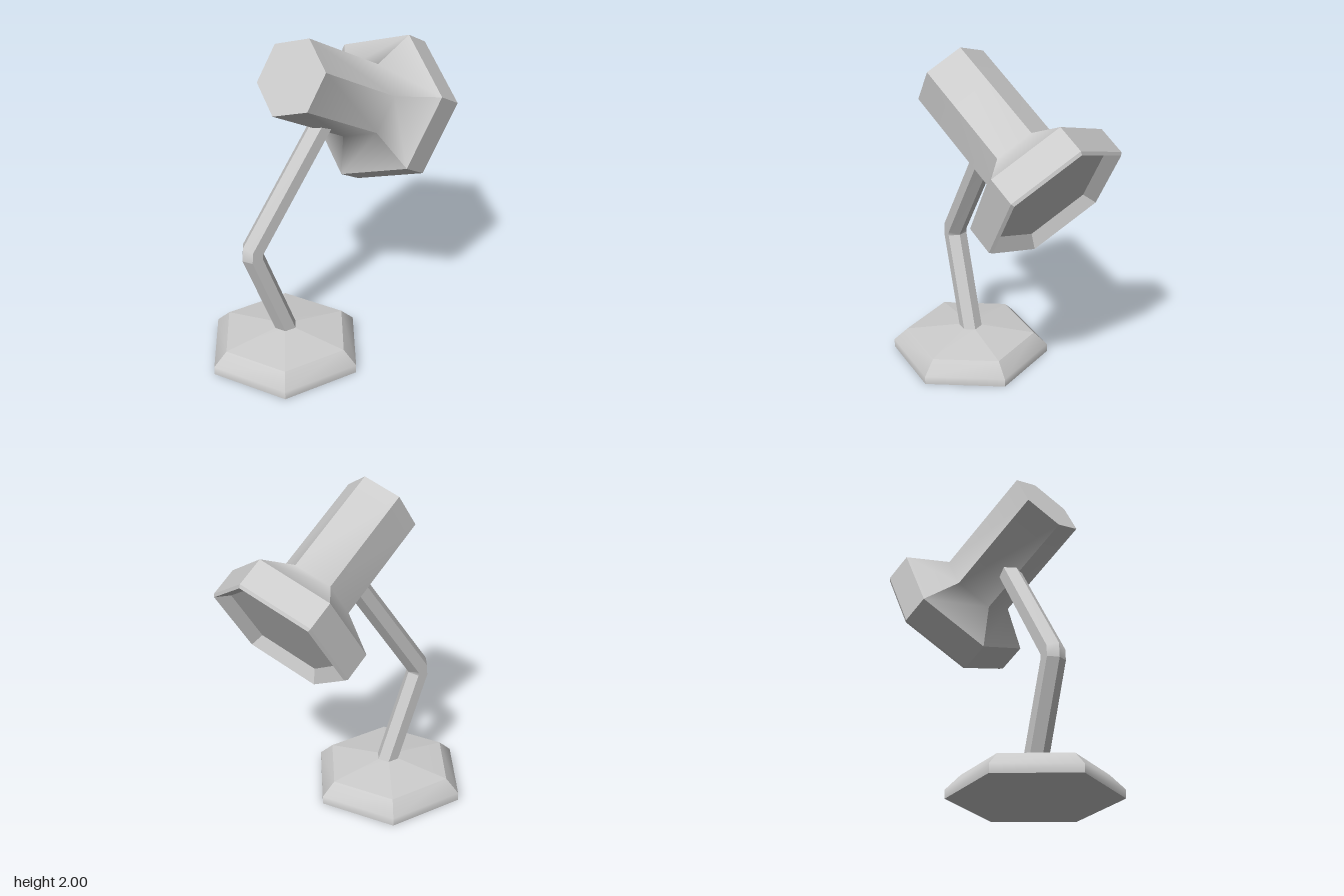
import * as THREE from 'three';

const SIDES = 6;
const material = new THREE.MeshStandardMaterial({ color: 0xcccccc });

// Skin a row of hexagonal rings; each side is its own strip, so the long
// edges stay sharp while the bends along a strip are smooth.
function loft(rings) {
  const positions = [], index = [];
  for (let s = 0; s < SIDES; s++) {
    const start = positions.length / 3;
    rings.forEach((ring, i) => {
      positions.push(...ring[s].toArray(), ...ring[(s + 1) % SIDES].toArray());
      if (i === rings.length - 1) return;
      const a = start + i * 2;
      index.push(a, a + 1, a + 3, a, a + 3, a + 2);
    });
  }
  const geometry = new THREE.BufferGeometry();
  geometry.setAttribute('position', new THREE.Float32BufferAttribute(positions, 3));
  geometry.setIndex(index);
  geometry.computeVertexNormals();
  return geometry;
}

// Hexagonal ring around a centre, spanned by an in-plane vector and a z radius
function ring(center, across, zRadius) {
  return Array.from({ length: SIDES }, (_, k) => {
    const a = (k / SIDES) * Math.PI * 2;
    return center.clone().addScaledVector(across, Math.cos(a))
      .add(new THREE.Vector3(0, 0, -Math.sin(a) * zRadius));
  });
}

// Turned hexagonal shape from [radius, height] points
const turned = (profile) => loft(profile.map(([r, y]) =>
  ring(new THREE.Vector3(0, y, 0), new THREE.Vector3(r, 0, 0), r)));

// Arm section from its outer and inner points in the side plane
function armSection([ox, oy, ix, iy]) {
  const center = new THREE.Vector3((ox + ix) / 2, (oy + iy) / 2, 0.047);
  const across = new THREE.Vector3((ix - ox) / 2, (iy - oy) / 2, 0);
  return ring(center, across, 0.068);
}

function addPart(parent, name, geometry) {
  const mesh = new THREE.Mesh(geometry, material);
  mesh.name = name;
  parent.add(mesh);
}

export function createModel() {
  const model = new THREE.Group();
  model.name = 'deskLamp';

  // Weighted base with a bevelled edge and a shallow sloping top
  const base = new THREE.Group();
  base.name = 'base';
  base.position.set(-0.28, 0, 0.047);
  addPart(base, 'baseUnderside', turned([[0, 0], [0.472, 0]]));
  addPart(base, 'baseSide', turned([[0.472, 0], [0.472, 0.05], [0.39, 0.13]]));
  addPart(base, 'baseTop', turned([[0.39, 0.13], [0.07, 0.175], [0, 0.175]]));
  model.add(base);

  // Bent arm running from the base up into the lamp head
  const lowerEnd = [-0.333, 0.14, -0.196, 0.14];
  const lowerBend = [-0.545, 0.705, -0.416, 0.727];
  const upperBend = [-0.54, 0.79, -0.415, 0.732];
  const upperEnd = [-0.055, 1.515, 0.054, 1.443];
  addPart(model, 'lowerArm', loft([lowerEnd, lowerBend].map(armSection)));
  addPart(model, 'upperArm', loft([lowerBend, upperBend, upperEnd].map(armSection)));

  // Lamp head, turned about its own tilted axis
  const head = new THREE.Group();
  head.name = 'lampHead';
  const axis = new THREE.Vector3(0.827, -0.508, -0.24).normalize();
  const up = new THREE.Vector3(0.512, 0.858, -0.025);
  up.addScaledVector(axis, -up.dot(axis)).normalize();
  const side = new THREE.Vector3().crossVectors(up, axis);
  head.quaternion.setFromRotationMatrix(new THREE.Matrix4().makeBasis(up, axis, side));
  head.position.set(-0.279, 1.807, 0.15);
  addPart(head, 'headBackCap', turned([[0, 0], [0.225, 0]]));
  addPart(head, 'headShade', turned([[0.225, 0], [0.225, 0.648], [0.441, 0.794]]));
  addPart(head, 'headCollar', turned([[0.441, 0.794], [0.441, 0.965]]));
  addPart(head, 'headRim', turned([[0.441, 0.965], [0.427, 0.981]]));
  addPart(head, 'headInnerWall', turned([[0.427, 0.981], [0.358, 0.92]]));
  addPart(head, 'lens', turned([[0.358, 0.92], [0, 0.92]]));
  model.add(head);

  return model;
}
